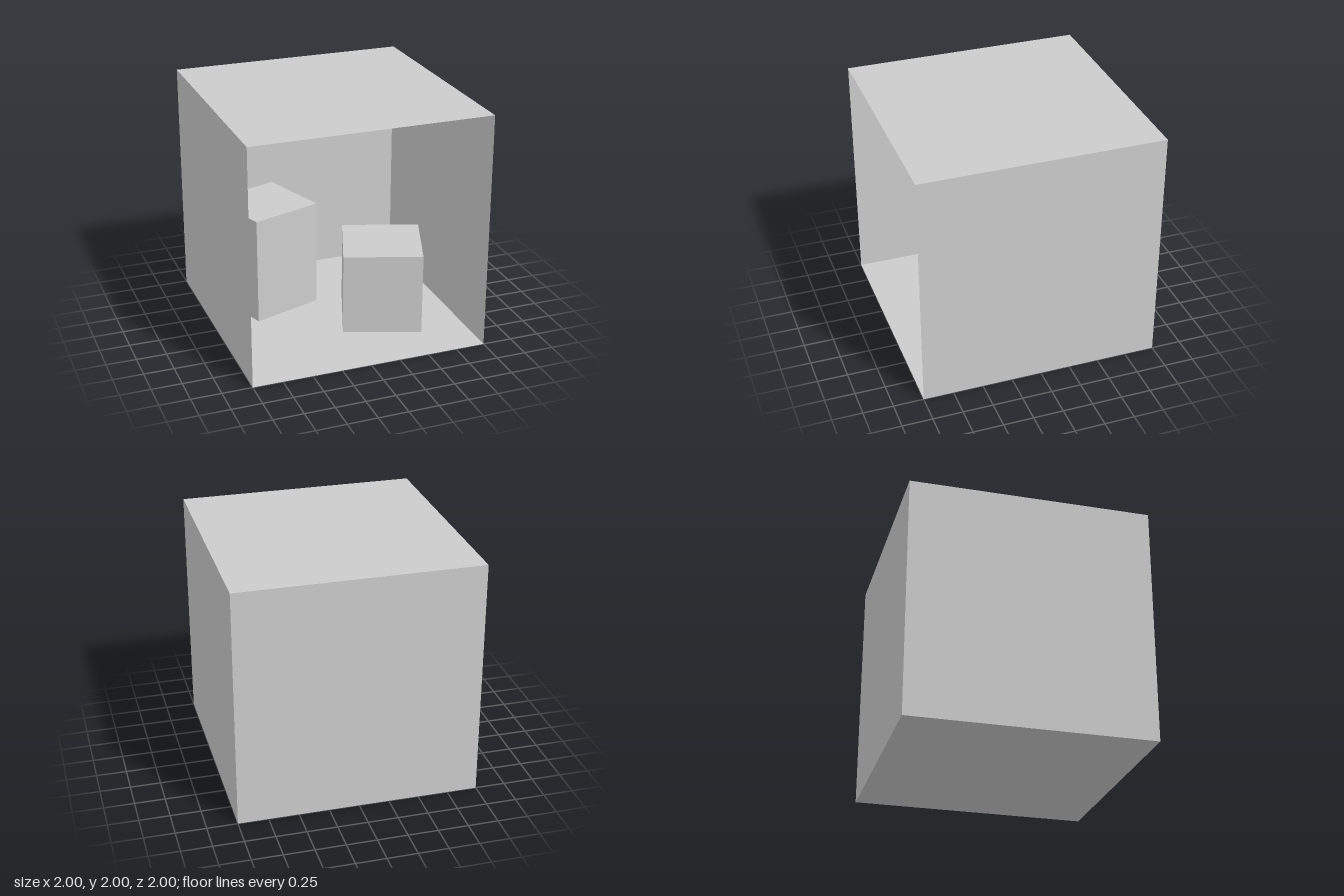
import * as THREE from 'three';

export function createModel() {
  const model = new THREE.Group();
  model.name = 'openRoom';

  const wallMaterial = new THREE.MeshStandardMaterial({ color: 0xcccccc, side: THREE.DoubleSide });
  const blockMaterial = new THREE.MeshStandardMaterial({ color: 0xcccccc });

  // Thin room panels, each facing inwards; the front stays open
  const panelGeometry = new THREE.PlaneGeometry(2, 2);
  const addPanel = (name, position, rotX, rotY) => {
    const panel = new THREE.Mesh(panelGeometry, wallMaterial);
    panel.name = name;
    panel.position.set(...position);
    panel.rotation.set(rotX, rotY, 0);
    model.add(panel);
  };
  const q = Math.PI / 2;
  addPanel('floor', [0, 0, 0], -q, 0);
  addPanel('ceiling', [0, 2, 0], q, 0);
  addPanel('backWall', [0, 1, -1], 0, 0);
  addPanel('leftWall', [1, 1, 0], 0, -q);
  addPanel('rightWall', [-1, 1, 0], 0, q);

  // Square blocks standing turned on the floor
  const addBlock = (name, width, height, x, z, turn) => {
    const block = new THREE.Mesh(new THREE.BoxGeometry(width, height, width), blockMaterial);
    block.name = name;
    block.position.set(x, height / 2, z);
    block.rotation.y = turn;
    model.add(block);
  };
  addBlock('tallBlock', 0.635, 0.925, -0.423, -0.43, 0.325);
  addBlock('shortBlock', 0.66, 0.695, 0.407, 0.205, -0.35);

  return model;
}
